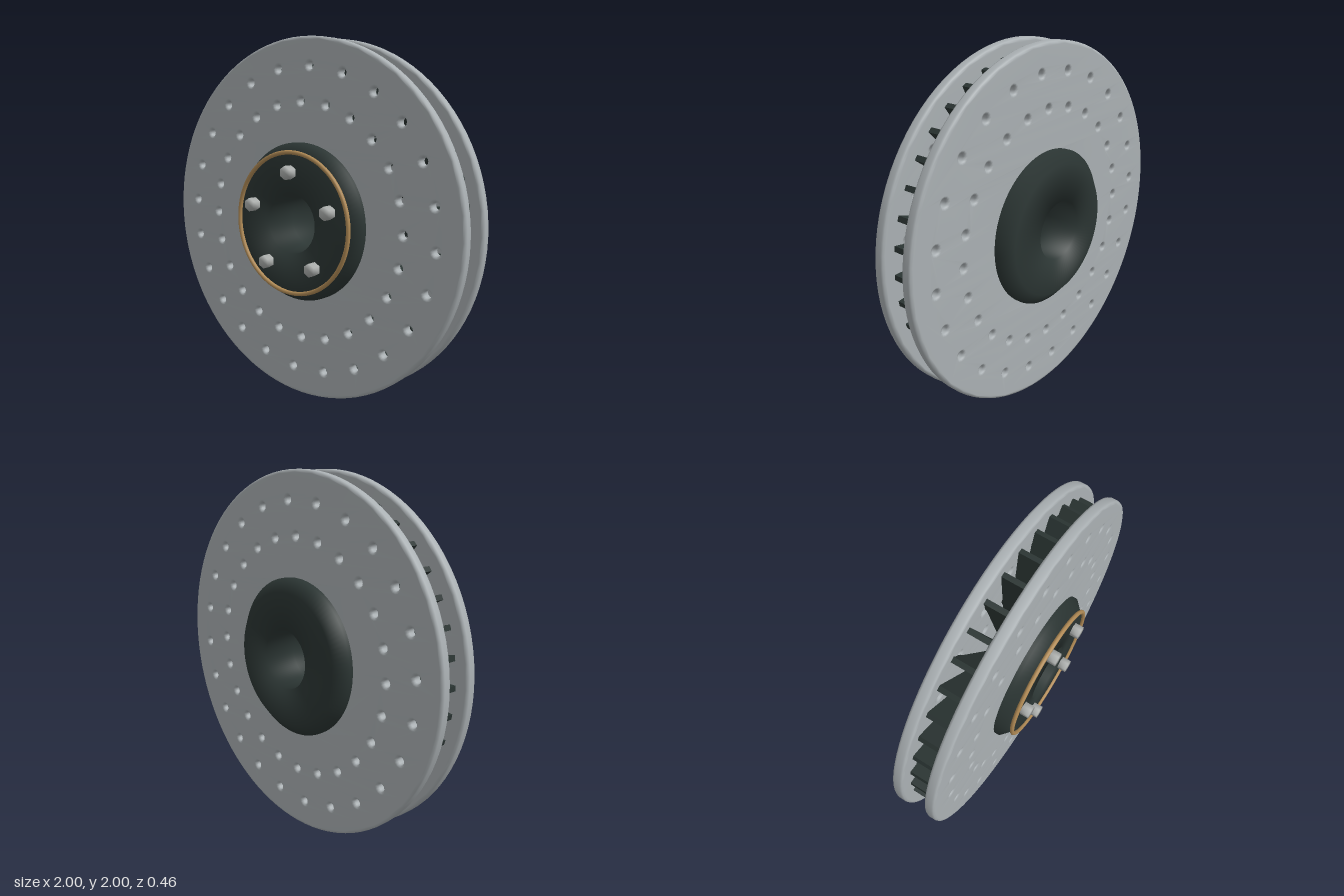
import * as THREE from 'three';
import { mergeVertices } from 'three/addons/utils/BufferGeometryUtils.js';

const steel = new THREE.MeshStandardMaterial({ name: 'brushed steel', color: 0xaab0b3 });
const iron = new THREE.MeshStandardMaterial({ name: 'dark iron', color: 0x2b3533 });
const brass = new THREE.MeshStandardMaterial({ name: 'brass', color: 0xb08a55 });
const boltSteel = new THREE.MeshStandardMaterial({ name: 'bolt steel', color: 0xaeb1af });

const MID_Z = -0.025;

// Points of a circle, starting on +x
function circle(radius, segments, cx = 0, cy = 0) {
  return Array.from({ length: segments }, (_, i) => {
    const a = (i / segments) * Math.PI * 2;
    return new THREE.Vector2(cx + radius * Math.cos(a), cy + radius * Math.sin(a));
  });
}

// Welds all vertices so shading runs softly over the edges
function soften(geometry) {
  geometry.deleteAttribute('normal');
  geometry.deleteAttribute('uv');
  const welded = mergeVertices(geometry, 1e-4);
  welded.computeVertexNormals();
  return welded;
}

function addMesh(parent, name, geometry, material) {
  const mesh = new THREE.Mesh(geometry, material);
  mesh.name = name;
  parent.add(mesh);
  return mesh;
}

// Bevelled friction ring drilled with two circles of holes
function frictionRingGeometry() {
  const bevel = 0.015;
  const shape = new THREE.Shape(circle(1 - bevel, 96));
  shape.holes.push(new THREE.Path(circle(0.425, 96)));
  const rows = [{ radius: 0.66, offset: 0 }, { radius: 0.848, offset: 0.19 }];
  for (const { radius, offset } of rows) {
    for (let i = 0; i < 24; i++) {
      const a = offset + (i / 24) * Math.PI * 2;
      shape.holes.push(new THREE.Path(circle(0.036, 12, radius * Math.cos(a), radius * Math.sin(a))));
    }
  }
  const depth = 0.03;
  const geometry = new THREE.ExtrudeGeometry(shape, {
    depth, bevelEnabled: true, bevelSize: bevel, bevelThickness: bevel, bevelSegments: 2,
  });
  geometry.translate(0, 0, -depth / 2);
  return soften(geometry);
}

export function createModel() {
  const model = new THREE.Group();
  model.name = 'ventilatedBrakeDisc';
  const disc = new THREE.Group();
  disc.name = 'disc';
  disc.position.y = 1;
  model.add(disc);

  // Front and back friction rings
  const ring = frictionRingGeometry();
  addMesh(disc, 'frontFrictionRing', ring, steel).position.z = MID_Z + 0.094;
  addMesh(disc, 'backFrictionRing', ring, steel).position.z = MID_Z - 0.094;

  // Cooling vanes between the rings
  const vanes = new THREE.Group();
  vanes.name = 'coolingVanes';
  disc.add(vanes);
  const vaneGeometry = new THREE.BoxGeometry(0.51, 0.028, 0.14);
  for (let i = 0; i < 40; i++) {
    const a = (i / 40) * Math.PI * 2;
    const vane = addMesh(vanes, 'vane', vaneGeometry, iron);
    vane.position.set(0.675 * Math.cos(a), 0.675 * Math.sin(a), MID_Z);
    vane.rotation.z = a;
  }

  // Hub with chamfered rims and a centre bore
  const profile = [
    [0.165, -0.025], [0.165, -0.23], [0.37, -0.23], [0.438, -0.17],
    [0.438, 0.12], [0.375, 0.18], [0.165, 0.18], [0.165, -0.025],
  ].map(([r, z]) => new THREE.Vector2(r, z));
  const hub = new THREE.LatheGeometry(profile, 96);
  hub.rotateX(Math.PI / 2);
  addMesh(disc, 'hub', hub, iron);

  // Brass trim around the hub face
  const trim = new THREE.TorusGeometry(0.388, 0.012, 10, 96);
  addMesh(disc, 'hubTrim', trim, brass).position.z = 0.184;

  // Five hexagonal wheel bolts
  const boltGeometry = soften(new THREE.CylinderGeometry(0.038, 0.038, 0.063, 6).rotateX(Math.PI / 2));
  for (let i = 0; i < 5; i++) {
    const a = Math.PI / 2 + (i / 5) * Math.PI * 2;
    const bolt = addMesh(disc, 'wheelBolt', boltGeometry, boltSteel);
    bolt.position.set(0.281 * Math.cos(a), 0.281 * Math.sin(a), 0.2);
  }
  return model;
}
